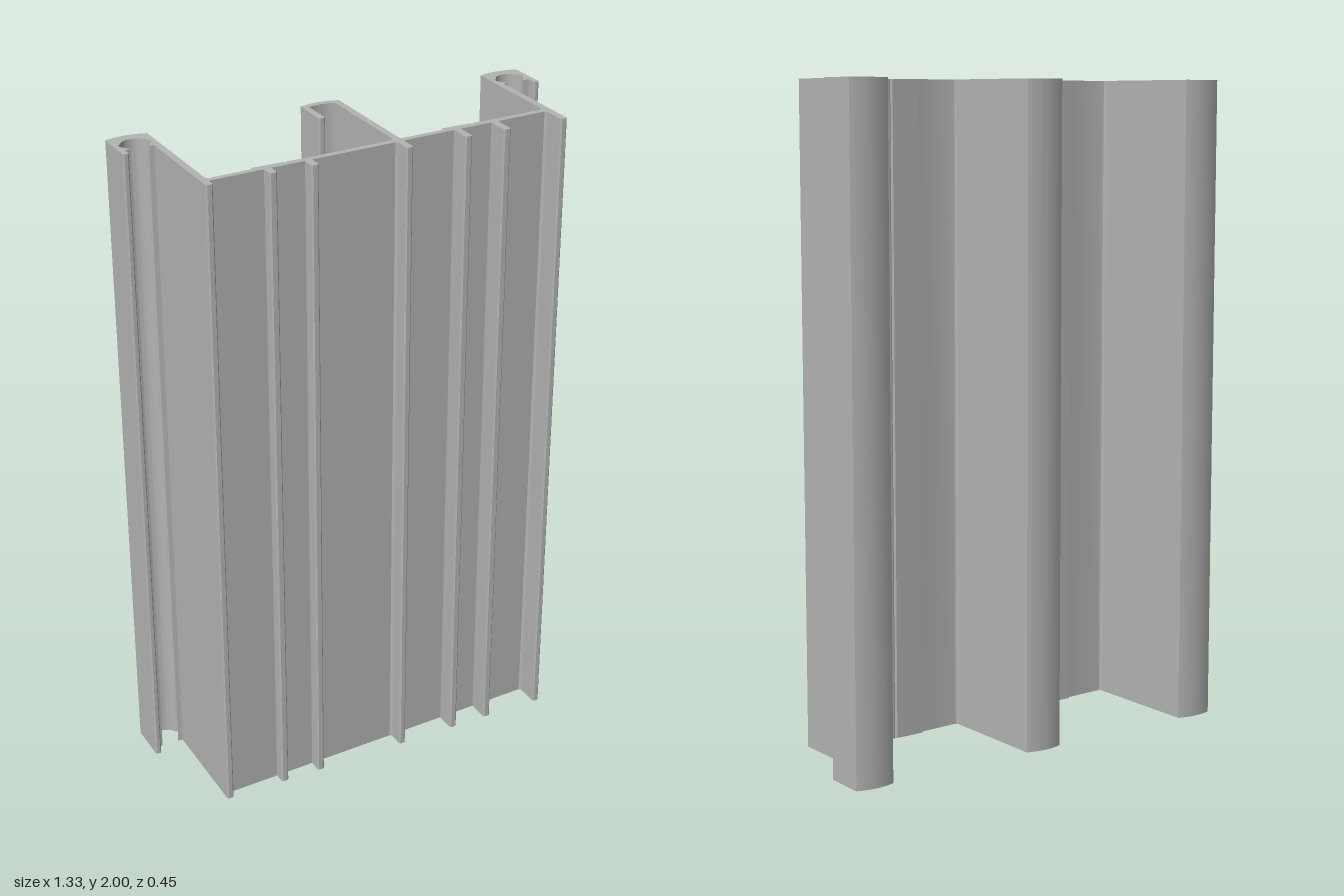
import * as THREE from 'three';
import { toCreasedNormals } from 'three/addons/utils/BufferGeometryUtils.js';

const HEIGHT = 2;
const FRONT = 0.227;   // front tips of walls and ribs
const BACK = -0.227;   // crowns of the hooks
const SHOULDER = -0.215;

const aluminium = new THREE.MeshStandardMaterial({ color: 0xb4b4b4 });
aluminium.name = 'aluminium';

// Extrude a plan outline of [x, z] points straight up.
function extrusion(name, points) {
  const shape = new THREE.Shape(points.map(([x, z]) => new THREE.Vector2(x, -z)));
  const geometry = new THREE.ExtrudeGeometry(shape, { depth: HEIGHT, bevelEnabled: false });
  geometry.rotateX(-Math.PI / 2);
  const mesh = new THREE.Mesh(toCreasedNormals(geometry, 0.45), aluminium);
  mesh.name = name;
  return mesh;
}

// Shallow crown between two x positions, bulging from zEdge to zMid.
function crown(x0, x1, zEdge, zMid, steps = 12) {
  return Array.from({ length: steps + 1 }, (_, i) => {
    const t = i / steps;
    return [x0 + (x1 - x0) * t, zEdge + (zMid - zEdge) * (1 - (2 * t - 1) ** 2)];
  });
}

// Slightly softened end of a thin wall, running from x0 to x1.
function tip(x0, x1, z, dir = 1) {
  const c = 0.004, s = Math.sign(x1 - x0);
  return [[x0, z - dir * c], [x0 + s * c, z], [x1 - s * c, z], [x1, z - dir * c]];
}

// Side wall with a curled lip and a keyhole slot; side is -1 or 1.
function sideChannel(name, side) {
  const mid = 0.6025, boreZ = -0.152, r = 0.041;
  const slotEdge = [[0.0455, -0.117], [0.027, -0.119], [0.04, -0.14], [0.0465, -0.143], [0.0465, -0.161]];
  const bore = [];
  for (let i = 0; i <= 16; i++) {
    const a = 0.4 + (Math.PI - 0.8) * i / 16;
    bore.push([mid + r * Math.cos(a), boreZ - r * Math.sin(a)]);
  }
  const points = [
    ...crown(0.54, 0.665, SHOULDER, BACK),
    ...tip(0.665, 0.647, -0.086),
    ...slotEdge.map(([d, z]) => [mid + d, z]),
    ...bore,
    ...slotEdge.slice(1).reverse().map(([d, z]) => [mid - d, z]),
    [0.561, -0.117],
    ...tip(0.561, 0.54, FRONT),
  ];
  return extrusion(name, points.map(([x, z]) => [side * x, z]));
}

// Sloping web faces
const webFront = (x) => 0.174 - 0.0475 * x;
const webBack = (x) => 0.155 - 0.049 * x;

// Web panel between two walls, with a raised grooved pad behind and ribs in front.
function webPanel(name, x0, x1, pad, ribs) {
  const f = 0.011;
  const points = [
    [x0, webBack(x0) - f], [x0 + 0.003, webBack(x0) - 0.003], [x0 + f, webBack(x0 + f)],
    [pad.from, webBack(pad.from)], [pad.from + 0.006, pad.z],
    [pad.groove - 0.005, pad.z], [pad.groove, pad.z + 0.005], [pad.groove + 0.005, pad.z],
    [pad.to, pad.z],
    [x1 - f, webBack(x1 - f)], [x1 - 0.003, webBack(x1) - 0.003], [x1, webBack(x1) - f],
    [x1, webFront(x1) + 0.006], [x1 - 0.006, webFront(x1 - 0.006)],
  ];
  for (const [a, b] of ribs) {
    points.push([b, webFront(b)], ...tip(b, a, FRONT), [a, webFront(a)]);
  }
  points.push([x0 + 0.006, webFront(x0 + 0.006)], [x0, webFront(x0) + 0.006]);
  return extrusion(name, points);
}

export function createModel() {
  const model = new THREE.Group();
  model.name = 'extrudedProfile';

  model.add(sideChannel('leftChannel', 1), sideChannel('rightChannel', -1));

  // Middle wall with a plain hooked lip
  model.add(extrusion('middleHook', [
    ...crown(-0.063, 0.061, SHOULDER, BACK),
    ...tip(0.061, 0.04, FRONT),
    ...crown(0.04, -0.043, -0.199, -0.207),
    ...tip(-0.043, -0.063, -0.098),
  ]));

  // Ribs are listed from +x to -x
  model.add(webPanel('rightWeb', -0.54, 0.04,
    { from: -0.405, to: -0.225, groove: -0.3, z: 0.166 },
    [[-0.251, -0.229], [-0.376, -0.353]]));
  model.add(webPanel('leftWeb', 0.061, 0.54,
    { from: 0.197, to: 0.4, groove: 0.3, z: 0.1355 },
    [[0.351, 0.374], [0.226, 0.249]]));

  return model;
}
